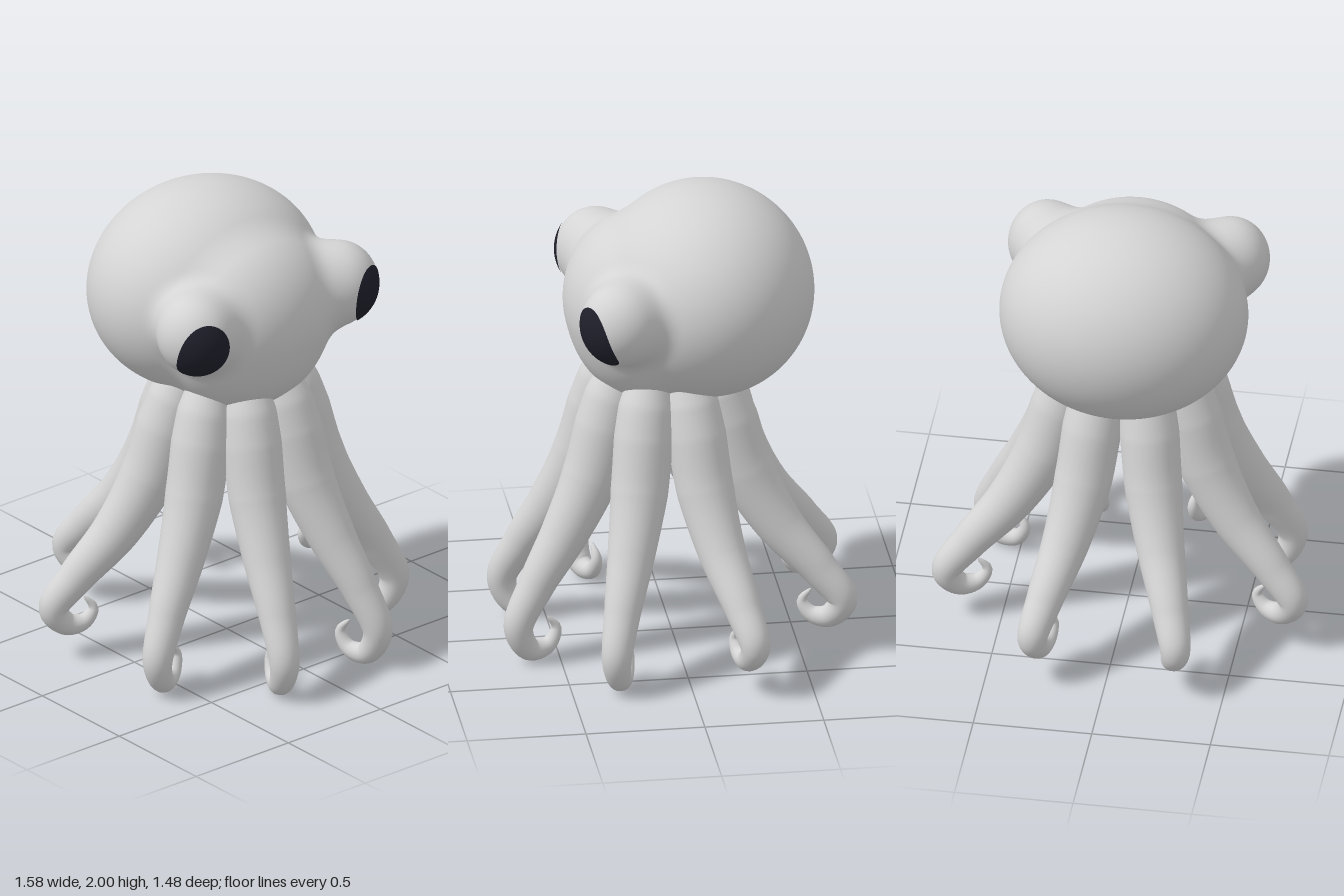
import * as THREE from 'three';
import { mergeVertices } from 'three/addons/utils/BufferGeometryUtils.js';

const skin = new THREE.MeshStandardMaterial({ color: 0xd4d4d4 });
skin.name = 'grey skin';
const dark = new THREE.MeshStandardMaterial({ color: 0x1f1f2b });
dark.name = 'dark eye';

// Head field: mantle, face, jaw and two eye bulges as smoothly blended ellipsoids
function ellipsoid(x, y, z, rx, ry, rz) {
  return (Math.hypot(x / rx, y / ry, z / rz) - 1) * Math.min(rx, ry, rz);
}
function blend(a, b, k) {
  const h = Math.max(k - Math.abs(a - b), 0) / k;
  return Math.min(a, b) - h * h * k / 4;
}
function headField(p) {
  const mantle = ellipsoid(p.x, p.y - 1.555, p.z + 0.14, 0.52, 0.445, 0.455);
  const face = ellipsoid(p.x, p.y - 1.52, p.z - 0.115, 0.41, 0.37, 0.338);
  const jaw = ellipsoid(p.x, p.y - 1.4, p.z - 0.1, 0.36, 0.3, 0.315);
  const bulge = ellipsoid(Math.abs(p.x) - 0.385, p.y - 1.585, p.z - 0.265, 0.165, 0.178, 0.17);
  const front = blend(face, jaw, 0.03);
  return blend(blend(mantle, front, 0.035), bulge, 0.09);
}

// Point where the line from inside to outside leaves the head
function findSurface(inside, outside) {
  const a = inside.clone(), b = outside.clone(), mid = new THREE.Vector3();
  for (let i = 0; i < 24; i++) {
    mid.lerpVectors(a, b, 0.5);
    (headField(mid) < 0 ? a : b).copy(mid);
  }
  return mid;
}

function smooth(geometry) {
  geometry.deleteAttribute('uv');
  geometry.deleteAttribute('normal');
  const merged = mergeVertices(geometry, 1e-5);
  merged.computeVertexNormals();
  return merged;
}

function makeHead() {
  const geometry = new THREE.IcosahedronGeometry(1, 40);
  const pos = geometry.attributes.position;
  const centre = new THREE.Vector3(0, 1.55, 0.1);
  const v = new THREE.Vector3();
  for (let i = 0; i < pos.count; i++) {
    v.fromBufferAttribute(pos, i).normalize().add(centre);
    const s = findSurface(centre, v);
    pos.setXYZ(i, s.x, s.y, s.z);
  }
  return new THREE.Mesh(smooth(geometry), skin);
}

// Eye patch: an oval laid from the front onto the bulge
function makeEye(side) {
  const geometry = new THREE.RingGeometry(0.001, 1, 64, 20);
  const pos = geometry.attributes.position;
  const e = 0.002;
  for (let i = 0; i < pos.count; i++) {
    const start = new THREE.Vector3(
      side * 0.44 + pos.getX(i) * 0.095, 1.558 + pos.getY(i) * 0.126, 0.27);
    // keep the outer rim on the bulge
    while (headField(start) > -0.001) start.x -= side * 0.001;
    const s = findSurface(start, start.clone().setZ(0.8));
    const f = headField(s);
    const n = new THREE.Vector3(
      headField(s.clone().setX(s.x + e)) - f,
      headField(s.clone().setY(s.y + e)) - f,
      headField(s.clone().setZ(s.z + e)) - f).normalize();
    s.addScaledVector(n, 0.004);
    pos.setXYZ(i, s.x, s.y, s.z);
  }
  return new THREE.Mesh(smooth(geometry), dark);
}

// Arm paths as [distance outward, height], ending in an inward curl
const frontPath = [[-0.04, 1.24], [0, 1.13], [0.038, 1.0], [0.105, 0.78], [0.225, 0.55],
  [0.36, 0.34], [0.445, 0.16], [0.39, 0.052], [0.305, 0.055], [0.266, 0.125], [0.31, 0.185]];
const rearPath = [[-0.04, 1.24], [0, 1.13], [0.045, 1.0], [0.12, 0.78], [0.26, 0.55],
  [0.435, 0.36], [0.535, 0.225], [0.475, 0.148], [0.4, 0.15], [0.36, 0.205], [0.4, 0.265]];
const radii = [0.088, 0.116, 0.125, 0.121, 0.1, 0.077, 0.062, 0.049, 0.035, 0.022, 0.006];

function makeArm(base, tip, path, side) {
  const dir = new THREE.Vector2(tip[0] - base[0], tip[1] - base[1]).normalize();
  const curve = new THREE.CatmullRomCurve3(path.map(([d, y]) =>
    new THREE.Vector3(side * (base[0] + dir.x * d), y, base[1] + dir.y * d)));
  const rings = 100, sides = 24;
  const geometry = new THREE.TubeGeometry(curve, rings, 1, sides);
  const pos = geometry.attributes.position;
  const v = new THREE.Vector3();
  for (let i = 0; i <= rings; i++) {
    const u = i / rings;
    const centre = curve.getPointAt(u);
    const t = curve.getUtoTmapping(u) * (radii.length - 1);
    const k = Math.min(Math.floor(t), radii.length - 2);
    const r = i === rings ? 0.001 : THREE.MathUtils.lerp(radii[k], radii[k + 1], t - k);
    for (let j = 0; j <= sides; j++) {
      const n = i * (sides + 1) + j;
      v.fromBufferAttribute(pos, n).sub(centre).multiplyScalar(r).add(centre);
      pos.setXYZ(n, v.x, v.y, v.z);
    }
  }
  return new THREE.Mesh(smooth(geometry), skin);
}

export function createModel() {
  const model = new THREE.Group();
  model.name = 'octopus';
  const add = (mesh, name) => {
    mesh.name = name;
    model.add(mesh);
    return mesh;
  };

  add(makeHead(), 'head');

  // Underside where the arms meet
  const core = add(new THREE.Mesh(new THREE.SphereGeometry(1, 32, 20), skin), 'armCore');
  core.scale.set(0.18, 0.24, 0.18);
  core.position.set(0, 1.1, 0.04);

  // Base and outermost point of each arm on one side, as [x, z]
  const arms = [
    ['frontArm', [0.097, 0.262], [0.255, 0.685], frontPath],
    ['frontSideArm', [0.235, 0.14], [0.63, 0.315], frontPath],
    ['rearSideArm', [0.235, -0.05], [0.73, -0.25], rearPath],
    ['rearArm', [0.105, -0.18], [0.305, -0.685], rearPath],
  ];
  for (const [side, label] of [[1, 'left'], [-1, 'right']]) {
    add(makeEye(side), label + 'Eye');
    for (const [name, base, tip, path] of arms) {
      add(makeArm(base, tip, path, side), label + name[0].toUpperCase() + name.slice(1));
    }
  }
  return model;
}
